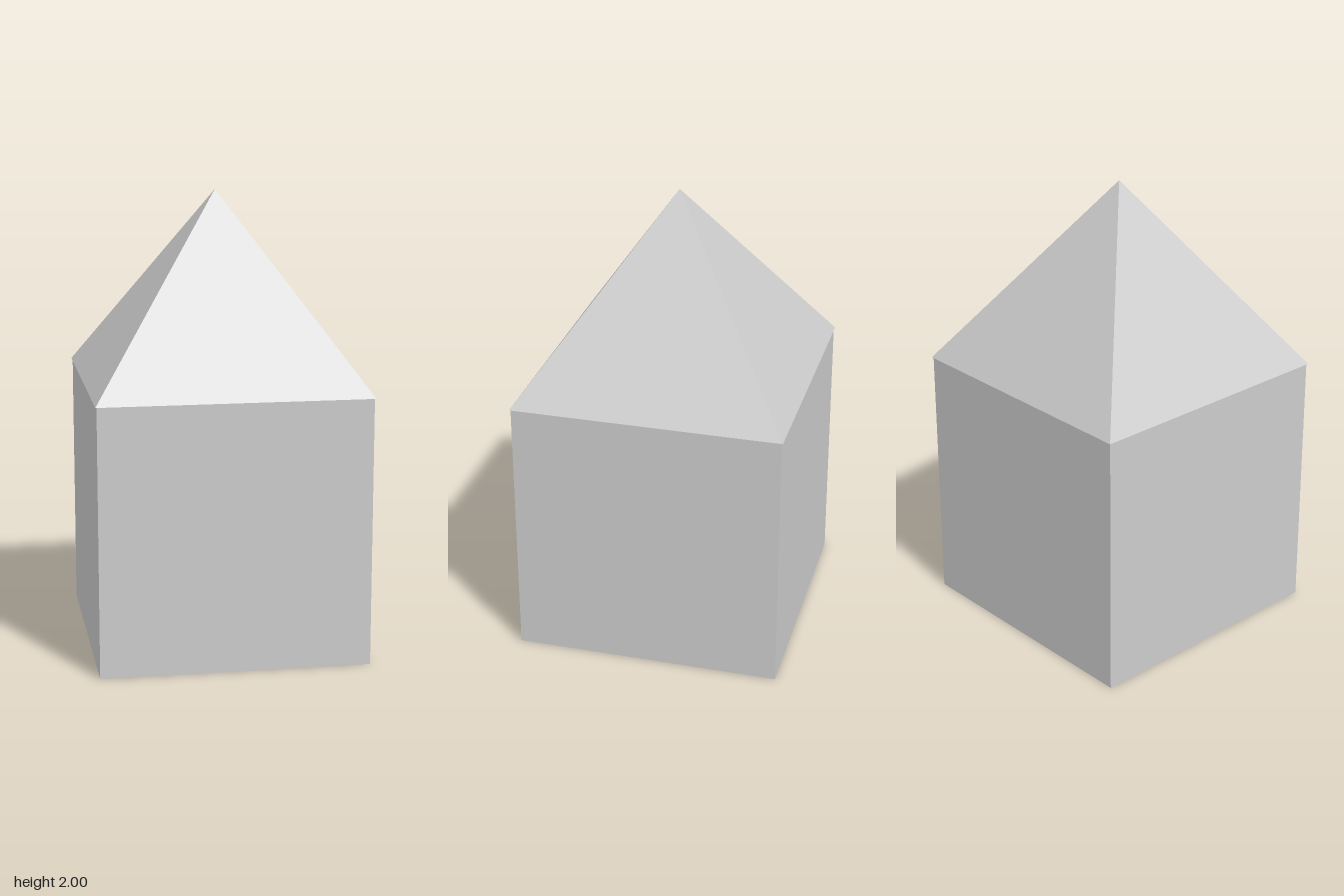
import * as THREE from 'three';

export function createModel() {
  const group = new THREE.Group();
  const material = new THREE.MeshStandardMaterial({ color: 0xcccccc, flatShading: true });
  const wallSize = 1.167;
  const roofHeight = 2 - wallSize;

  // Cubic house body standing on the ground
  const walls = new THREE.Mesh(new THREE.BoxGeometry(wallSize, wallSize, wallSize), material);
  walls.name = 'walls';
  walls.position.y = wallSize / 2;

  // Four-sided pyramid roof with a slight overhang
  const roof = new THREE.Mesh(new THREE.ConeGeometry(0.833, roofHeight, 4), material);
  roof.name = 'roof';
  roof.position.y = wallSize + roofHeight / 2;
  roof.rotation.y = Math.PI / 4;

  group.add(walls, roof);
  return group;
}
